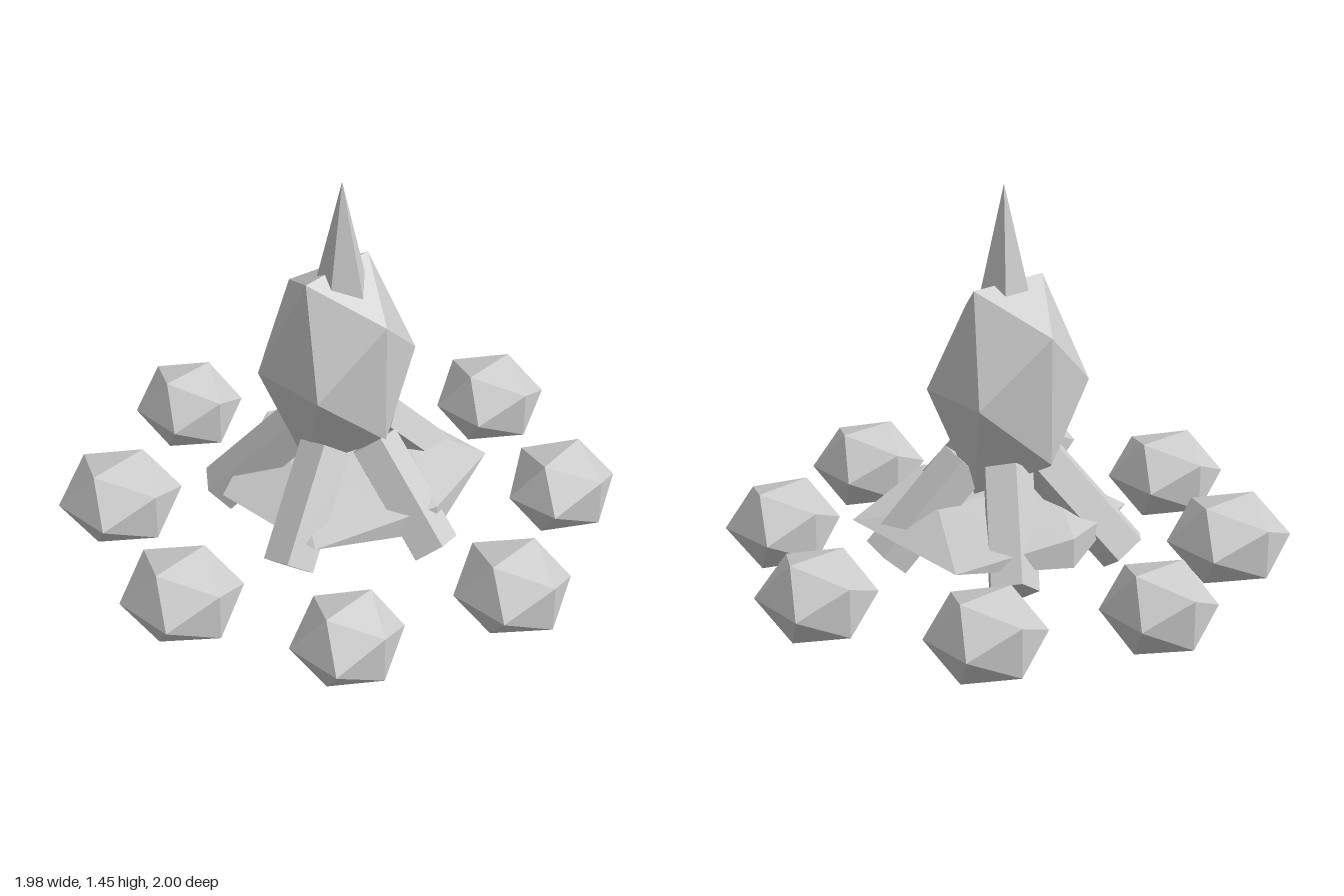
import * as THREE from 'three';

export function createModel() {
  const model = new THREE.Group();
  model.name = 'campfire';
  const grey = new THREE.MeshStandardMaterial({ color: 0xcccccc, flatShading: true });
  grey.name = 'plain grey';

  const add = (name, geometry, parent = model) => {
    const mesh = new THREE.Mesh(geometry, grey);
    mesh.name = name;
    parent.add(mesh);
    return mesh;
  };

  // Icosahedron with given half sizes; taper widens its back (-z) end
  const chunk = (hx, hy, hz, taper = 0) => {
    const g = new THREE.IcosahedronGeometry(1, 0).rotateY(Math.PI / 2);
    const k = 1 / 0.8507;
    g.scale(hx * k, hy * k, hz * k);
    const p = g.attributes.position;
    for (let i = 0; i < p.count; i++) p.setX(i, p.getX(i) * (1 - taper * p.getZ(i) / hz));
    g.computeVertexNormals();
    return g;
  };

  // Ring of stones: x, z, half width, half depth, taper, yaw
  const stones = [
    [0.805, -0.005, 0.186, 0.181, 0, 0],
    [0.56, -0.572, 0.176, 0.18, 0.08, 0.09],
    [0, -0.825, 0.184, 0.18, 0.08, 0],
    [-0.59, -0.57, 0.18, 0.18, 0, 0.02],
    [-0.81, 0.005, 0.18, 0.172, 0, -0.04],
    [-0.57, 0.58, 0.194, 0.194, 0, 0],
    [0, 0.81, 0.19, 0.186, 0, 0],
    [0.58, 0.585, 0.165, 0.178, -0.08, 0],
  ];
  for (const [x, z, hx, hz, taper, yaw] of stones) {
    const stone = add('stone', chunk(hx, 0.146, hz, taper));
    stone.position.set(x, 0.148, z);
    stone.rotation.y = yaw;
  }

  // Flat bed of embers
  add('emberBed', chunk(0.425, 0.09, 0.422, 0.12)).position.set(0, 0.22, -0.037);

  // Five leaning logs, tops meeting under the flame
  for (let i = 0; i < 5; i++) {
    const arm = new THREE.Group();
    arm.name = 'logArm';
    arm.rotation.y = -i * Math.PI * 2 / 5;
    model.add(arm);
    const g = new THREE.CylinderGeometry(0.095, 0.095, 0.44, 5);
    if (i === 1 || i === 3) g.rotateY(Math.PI);
    const log = add('log', g, arm);
    log.position.set(0.296, 0.28, 0);
    log.rotation.z = 0.75;
  }

  // Flame body and its pointed tip
  add('flame', chunk(0.235, 0.38, 0.252)).position.set(-0.02, 0.72, 0.006);
  const tip = add('flameTip', new THREE.ConeGeometry(0.1, 0.43, 5).rotateY(Math.PI / 2));
  tip.position.set(0.003, 1.235, 0.005);

  return model;
}
